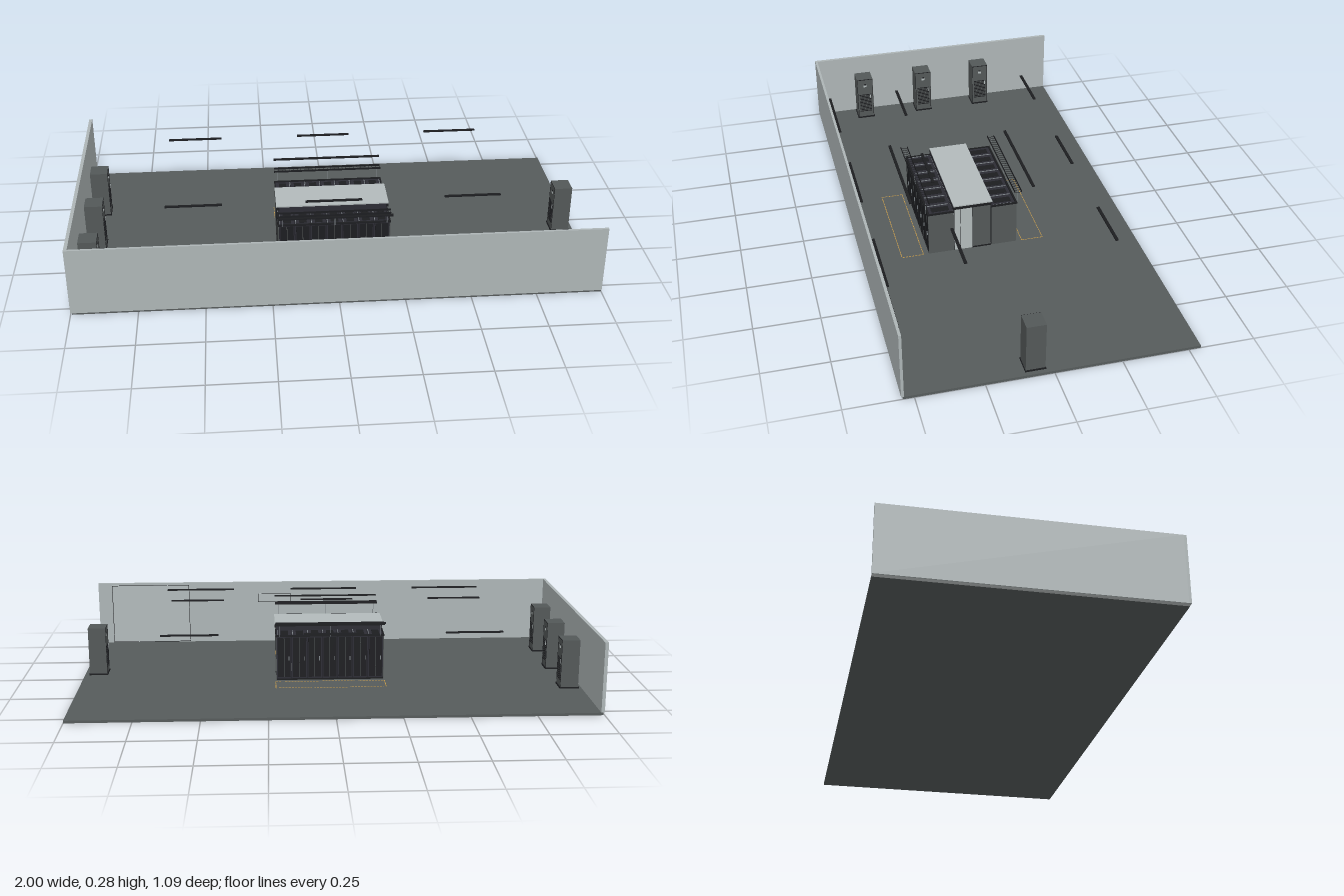
import * as THREE from 'three';

const mat = (name, color, side = THREE.FrontSide) => {
  const m = new THREE.MeshStandardMaterial({ color, side });
  m.name = name;
  return m;
};

export function createModel() {
  const wallGrey = mat('wall grey', 0xadb5b6);
  const floorGrey = mat('floor grey', 0x565b5b);
  const cabinetGrey = mat('cabinet grey', 0x535858);
  const rackBlack = mat('rack black', 0x2c2c34);
  const trimBlack = mat('trim black', 0x1c1d20);
  const panelPale = mat('pale panel', 0xb2babb);
  const markYellow = mat('marking yellow', 0xc49a4a);
  const metal = mat('metal', 0x7d8488);

  const model = new THREE.Group();
  model.name = 'serverRoom';

  const group = (name, parent = model) => {
    const g = new THREE.Group();
    g.name = name;
    parent.add(g);
    return g;
  };
  // Box given by its min and max on each axis
  const box = (parent, name, material, x0, x1, y0, y1, z0, z1) => {
    const m = new THREE.Mesh(new THREE.BoxGeometry(x1 - x0, y1 - y0, z1 - z0), material);
    m.position.set((x0 + x1) / 2, (y0 + y1) / 2, (z0 + z1) / 2);
    m.name = name;
    parent.add(m);
    return m;
  };

  // Room shell: floor and two walls
  box(model, 'floor', floorGrey, -0.995, 1, 0, 0.01, -0.545, 0.54);
  box(model, 'frontWall', wallGrey, -1, 1, 0.01, 0.28, 0.536, 0.546);
  box(model, 'sideWall', wallGrey, -1, -0.987, 0.01, 0.28, -0.545, 0.536);

  // Tall panel and framed board on the inside of the front wall
  const frame = (name, x0, x1, y0, y1, z, t) => {
    const g = group(name);
    box(g, 'sheet', panelPale, x0, x1, y0, y1, z, z + 0.003);
    for (const x of [x0, x1 - t]) box(g, 'frameUpright', trimBlack, x, x + t, y0, y1, z - 0.001, z);
    for (const y of [y0, y1 - t]) box(g, 'frameRail', trimBlack, x0, x1, y, y + t, z - 0.001, z);
  };
  frame('wallPanel', 0.6, 0.94, 0.012, 0.27, 0.533, 0.002);
  frame('wallBoard', 0.15, 0.295, 0.19, 0.23, 0.529, 0.0015);

  // Cooling cabinets, built facing +x
  const cabinet = (x, z, turn) => {
    const g = group('coolingCabinet');
    box(g, 'plinth', trimBlack, -0.038, 0.038, 0.01, 0.016, -0.038, 0.038);
    box(g, 'body', cabinetGrey, -0.035, 0.035, 0.016, 0.207, -0.036, 0.036);
    for (const s of [-1, 1]) {
      box(g, 'doorEdge', trimBlack, 0.035, 0.036, 0.016, 0.207, s * 0.0345 - 0.001, s * 0.0345 + 0.001);
    }
    box(g, 'doorTopEdge', trimBlack, 0.035, 0.036, 0.204, 0.207, -0.035, 0.035);
    for (let i = 0; i < 12; i++) {
      const y = 0.043 + i * 0.0076;
      box(g, 'louver', trimBlack, 0.035, 0.037, y, y + 0.0032, -0.027, 0.027);
    }
    box(g, 'display', panelPale, 0.035, 0.0365, 0.168, 0.178, -0.007, 0.007);
    box(g, 'displayHood', trimBlack, 0.035, 0.037, 0.178, 0.183, -0.004, 0.004);
    box(g, 'handle', panelPale, 0.037, 0.039, 0.11, 0.128, -0.024, -0.021);
    g.position.set(x, 0, z);
    g.rotation.y = turn;
  };
  for (const z of [-0.206, 0.065, 0.337]) cabinet(-0.937, z, 0);
  cabinet(0.945, 0.065, Math.PI);

  // Rack rows either side of the aisle, built with the aisle at -z
  const racks = 7, rowX0 = -0.213, pitch = 0.43 / racks;
  const rackRow = (sign) => {
    const row = group('rackRow');
    for (let i = 0; i < racks; i++) {
      const x0 = rowX0 + i * pitch, x1 = x0 + pitch;
      const r = group('rack', row);
      box(r, 'body', rackBlack, x0 + 0.001, x1 - 0.001, 0.016, 0.192, 0.078, 0.176);
      box(r, 'topStrip', metal, x0 + 0.003, x0 + 0.0055, 0.192, 0.194, 0.085, 0.168);
      box(r, 'topVent', trimBlack, x0 + 0.018, x1 - 0.014, 0.192, 0.1935, 0.09, 0.16);
      // Mesh doors on both faces, with a frame and a handle
      for (const z of [0.0755, 0.176]) {
        box(r, 'door', trimBlack, x0 + 0.005, x1 - 0.005, 0.022, 0.186, z, z + 0.0025);
        box(r, 'doorSeam', cabinetGrey, x0 + pitch / 2 - 0.001, x0 + pitch / 2 + 0.001, 0.022, 0.186, z - 0.0005, z + 0.003);
      }
      box(r, 'handle', metal, x1 - 0.013, x1 - 0.01, 0.092, 0.108, 0.178, 0.182);
    }
    box(row, 'plinth', trimBlack, rowX0, rowX0 + 0.43, 0.01, 0.016, 0.077, 0.178);
    for (const x of [rowX0 - 0.003, rowX0 + 0.43]) {
      box(row, 'sidePanel', cabinetGrey, x, x + 0.003, 0.01, 0.192, 0.076, 0.178);
      box(row, 'sideTopTrim', trimBlack, x - 0.001, x + 0.004, 0.189, 0.196, 0.076, 0.18);
    }
    box(row, 'outerTopRail', trimBlack, rowX0, rowX0 + 0.43, 0.19, 0.196, 0.172, 0.18);

    // Cable ladder on posts above the outer edge
    const tray = group('cableTray', row);
    for (const z of [0.17, 0.197]) box(tray, 'rail', trimBlack, -0.215, 0.22, 0.239, 0.247, z, z + 0.0015);
    for (let i = 0; i <= 28; i++) {
      const x = -0.214 + i * 0.0154;
      box(tray, 'rung', trimBlack, x, x + 0.0015, 0.239, 0.2405, 0.17, 0.198);
    }
    for (const x of [-0.2, 0.003, 0.205]) box(tray, 'post', metal, x - 0.001, x + 0.001, 0.192, 0.24, 0.183, 0.185);

    // Dashed safety outline on the floor
    const marks = group('floorMarking', row);
    const dash = 0.0085, gap = 0.0125;
    for (const z of [0.201, 0.287]) {
      for (let x = -0.217; x < 0.215; x += gap) {
        box(marks, 'dash', markYellow, x, x + dash, 0.01, 0.011, z - 0.0015, z + 0.0015);
      }
    }
    for (const x of [-0.217, 0.221]) {
      for (let z = 0.201; z < 0.28; z += gap) {
        box(marks, 'dash', markYellow, x - 0.0015, x + 0.0015, 0.01, 0.011, z, z + dash);
      }
    }
    row.position.z = 0.103;
    if (sign < 0) {
      row.rotation.y = Math.PI;
      row.position.x = 0.004;
    }
  };
  rackRow(1);
  rackRow(-1);

  // Aisle roof
  const aisle = group('aisleContainment');
  box(aisle, 'roofFrame', trimBlack, -0.216, 0.22, 0.203, 0.216, 0.03, 0.176);
  box(aisle, 'roofPanel', panelPale, -0.219, 0.224, 0.216, 0.221, 0.025, 0.18);
  for (const z of [0.026, 0.176]) box(aisle, 'roofSupport', rackBlack, -0.214, 0.218, 0.19, 0.216, z, z + 0.003);

  // Sliding doors at both ends of the aisle
  for (const [x, s] of [[0.217, 1], [-0.213, -1]]) {
    const end = group('aisleDoor', aisle);
    box(end, 'solidDoor', cabinetGrey, x - 0.004, x + 0.004, 0.016, 0.205, 0.031, 0.103);
    box(end, 'doorPlinth', trimBlack, x - 0.004, x + 0.005, 0.01, 0.016, 0.029, 0.105);
    box(end, 'paleDoor', panelPale, x - 0.003, x + 0.003, 0.01, 0.203, 0.105, 0.178);
    for (const z of [0.103, 0.152, 0.177]) {
      box(end, 'doorEdge', trimBlack, x + s * 0.0035 - 0.001, x + s * 0.0035 + 0.001, 0.01, 0.203, z, z + 0.0015);
    }
    box(end, 'doorTrack', trimBlack, x - 0.004, x + 0.006, 0.203, 0.214, 0.028, 0.18);
  }

  // Hanging light bars
  const light = (x0, x1, y, z, d = 0.011) =>
    box(model, 'lightBar', trimBlack, x0, x1, y - 0.0025, y + 0.0025, z - d / 2, z + d / 2);
  for (const z of [-0.334, 0.235]) {
    for (const x of [-0.538, 0.003, 0.545]) light(x - 0.11, x + 0.11, 0.27, z);
  }
  for (const z of [-0.142, 0.347]) light(-0.216, 0.221, 0.26, z);
  for (const x of [-0.538, 0.003, 0.548]) light(x - 0.146, x + 0.146, 0.25, 0.527, 0.014);

  return model;
}
